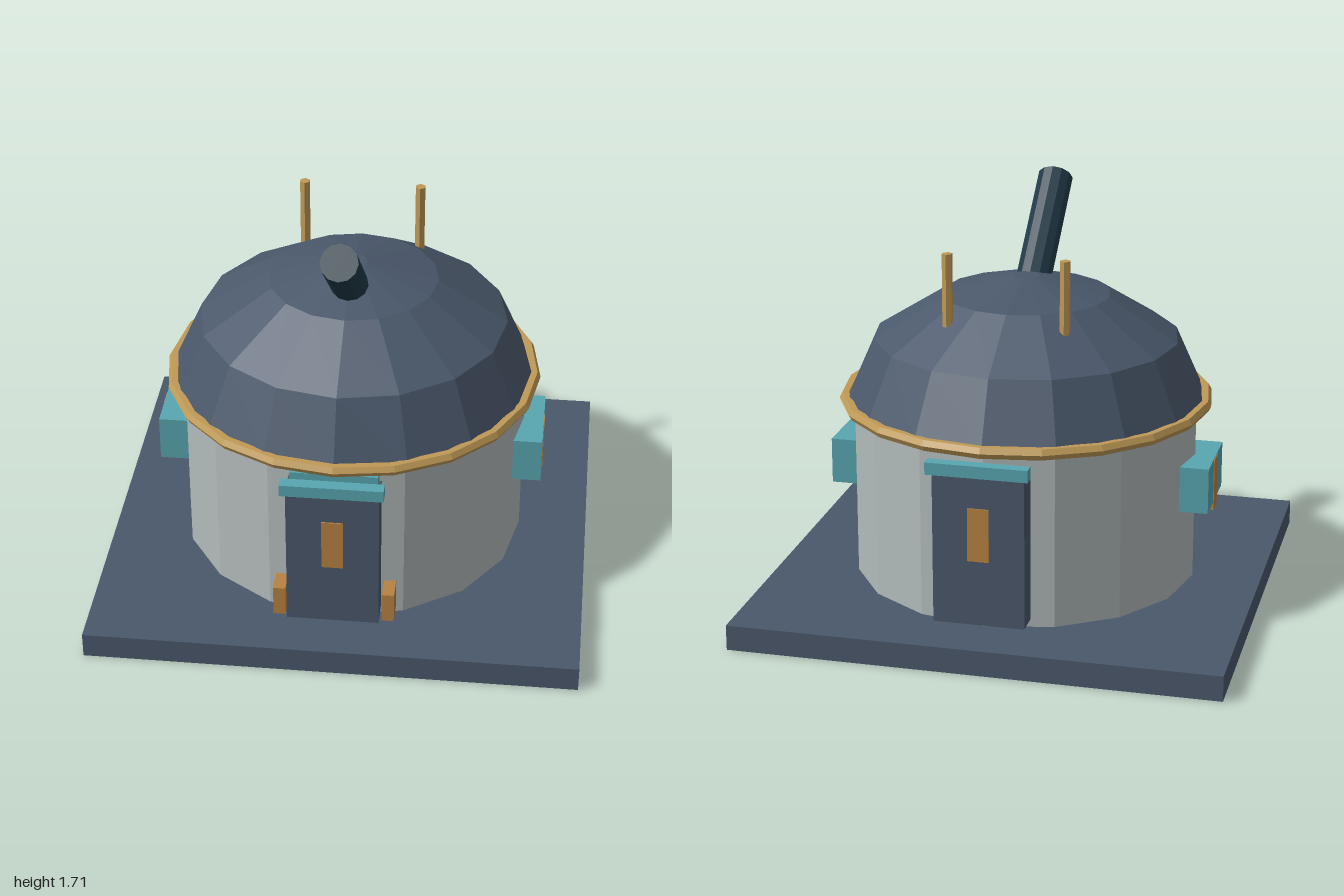
import * as THREE from 'three';

const mat = (name, color) => {
  const m = new THREE.MeshStandardMaterial({ color, flatShading: true });
  m.name = name;
  return m;
};

export function createModel() {
  const slate = mat('slate', 0x4a586b);
  const stone = mat('stone', 0xb2baba);
  const teal = mat('teal', 0x58a6b0);
  const copper = mat('copper', 0xb88242);
  const brass = mat('brass', 0xbf9a56);
  const gunmetal = mat('gunmetal', 0x213947);

  const model = new THREE.Group();
  model.name = 'domedObservatory';

  const add = (name, geometry, material) => {
    const mesh = new THREE.Mesh(geometry, material);
    mesh.name = name;
    model.add(mesh);
    return mesh;
  };
  // Box given by its minimum and maximum along each axis
  const box = (name, material, [x0, x1], [y0, y1], [z0, z1]) =>
    add(name, new THREE.BoxGeometry(x1 - x0, y1 - y0, z1 - z0), material)
      .position.set((x0 + x1) / 2, (y0 + y1) / 2, (z0 + z1) / 2);
  // Range mirrored to the negative side when s is -1
  const side = (s, a, b) => (s > 0 ? [a, b] : [-b, -a]);

  // Foundation slab and round wall
  box('baseSlab', slate, [-1, 1], [0, 0.105], [-0.955, 0.955]);
  add('wall', new THREE.CylinderGeometry(0.715, 0.715, 0.755, 16), stone).position.y = 0.4775;

  // Faceted dome with a small flat crown
  const profile = [[0, 0.85], [0.748, 0.85], [0.632, 1.11], [0.347, 1.288], [0.055, 1.36], [0, 1.36]]
    .map(([r, y]) => new THREE.Vector2(r, y));
  add('dome', new THREE.LatheGeometry(profile, 16), slate);

  // Hexagonal trim ring at the foot of the dome
  const ring = add('trimRing', new THREE.TorusGeometry(0.75, 0.026, 6, 20), brass);
  ring.rotation.x = Math.PI / 2;
  ring.position.y = 0.851;

  // Telescope tube leaning out of the dome towards the front
  const axis = new THREE.Vector3(0, 0.65, 0.76).normalize();
  const tube = add('telescopeTube', new THREE.CylinderGeometry(0.075, 0.075, 0.68, 12), gunmetal);
  tube.quaternion.setFromUnitVectors(new THREE.Vector3(0, 1, 0), axis);
  tube.position.set(0, 1.653, 0.52).addScaledVector(axis, -0.34);

  // Teal door frame, front only
  box('doorFrame', teal, [-0.175, 0.175], [0.135, 0.822], [0.66, 0.74]);

  for (const s of [1, -1]) {
    // Front and back doors with lintel and panel
    box('door', slate, [-0.185, 0.185], [0.145, 0.775], side(s, 0.695, 0.8));
    box('lintel', teal, [-0.205, 0.205], [0.77, 0.82], side(s, 0.78, 0.83));
    box('doorPanel', copper, [-0.043, 0.043], [0.415, 0.635], side(s, 0.797, 0.805));

    // Side windows with a central bracket
    box('sideWindow', teal, side(s, 0.68, 0.8), [0.45, 0.642], [-0.173, 0.173]);
    box('windowBracket', copper, side(s, 0.7, 0.803), [0.418, 0.638], [-0.04, 0.04]);

    // Bollards beside the front door
    box('doorBollard', copper, side(s, 0.195, 0.245), [0.135, 0.265], [0.67, 0.77]);

    // Aerials at the back of the dome
    add('aerial', new THREE.CylinderGeometry(0.022, 0.022, 0.3, 6), brass)
      .position.set(s * 0.24, 1.375, -0.347);
  }
  return model;
}
